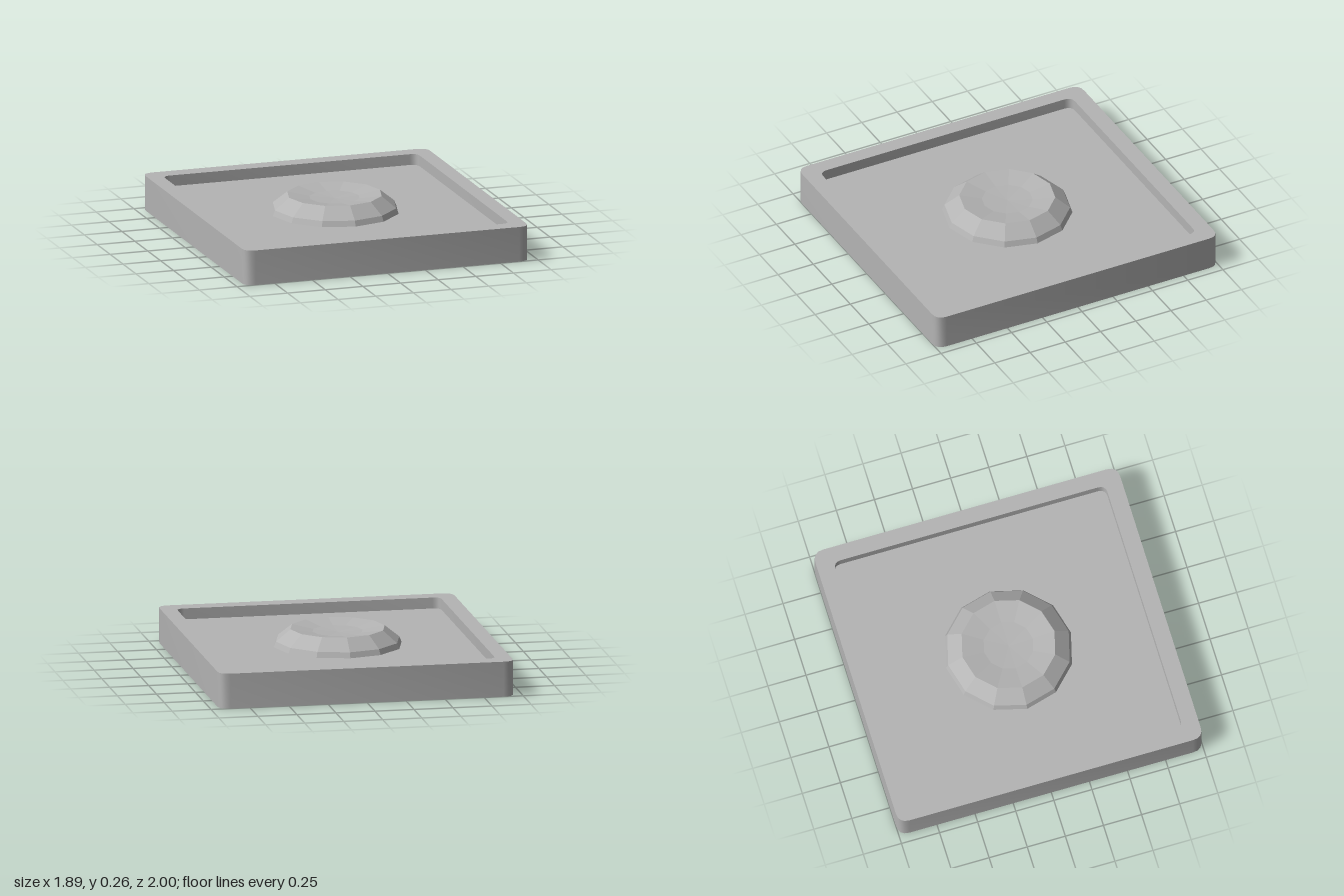
import * as THREE from 'three';
import { toCreasedNormals } from 'three/addons/utils/BufferGeometryUtils.js';

const HEIGHT = 0.225, FLOOR = 0.155;

// Trace a rounded rectangle with half sizes w and d
function roundedRect(path, w, d, r) {
  path.moveTo(-w + r, -d);
  path.lineTo(w - r, -d);
  path.quadraticCurveTo(w, -d, w, -d + r);
  path.lineTo(w, d - r);
  path.quadraticCurveTo(w, d, w - r, d);
  path.lineTo(-w + r, d);
  path.quadraticCurveTo(-w, d, -w, d - r);
  path.lineTo(-w, -d + r);
  path.quadraticCurveTo(-w, -d, -w + r, -d);
  return path;
}

// Extrude a plan outline upward from the ground
function slab(shape, height) {
  const g = new THREE.ExtrudeGeometry(shape, { depth: height, bevelEnabled: false, curveSegments: 4 });
  g.rotateX(-Math.PI / 2);
  return toCreasedNormals(g, Math.PI / 5);
}

export function createModel() {
  const group = new THREE.Group();
  const grey = new THREE.MeshStandardMaterial({ color: 0xb4b4b4 });
  grey.name = 'grey';

  const add = (name, geometry) => {
    const mesh = new THREE.Mesh(geometry, grey);
    mesh.name = name;
    group.add(mesh);
    return mesh;
  };

  // Raised rim around the recess
  const rim = roundedRect(new THREE.Shape(), 0.945, 1, 0.07);
  rim.holes.push(roundedRect(new THREE.Path(), 0.845, 0.893, 0.05));
  add('rim', slab(rim, HEIGHT));

  // Recessed floor filling the rim
  add('floor', slab(roundedRect(new THREE.Shape(), 0.845, 0.893, 0.05), FLOOR));

  // Twelve-sided faceted boss with a shallow dish on top
  const profile = [
    [0.41, FLOOR], [0.395, 0.19], [0.302, 0.265], [0.16, 0.243], [0, 0.236],
  ].map(([r, y]) => new THREE.Vector2(r, y));
  const boss = new THREE.LatheGeometry(profile, 12).toNonIndexed();
  boss.computeVertexNormals();
  add('boss', boss).position.x = -0.01;

  return group;
}
